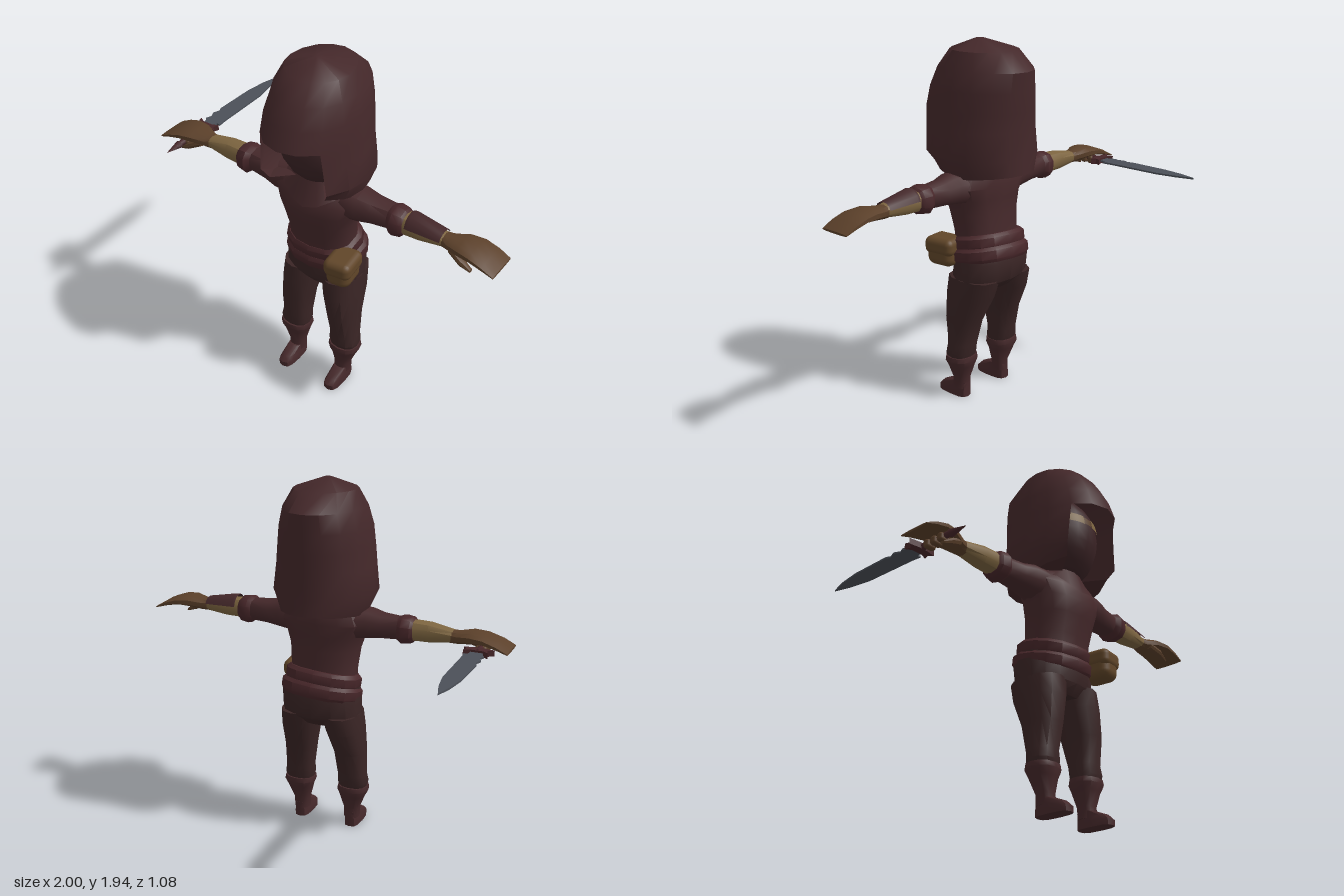
import * as THREE from 'three';
import { toCreasedNormals } from 'three/addons/utils/BufferGeometryUtils.js';
import { RoundedBoxGeometry } from 'three/addons/geometries/RoundedBoxGeometry.js';

const mat = (name, color, side = THREE.FrontSide) =>
  Object.assign(new THREE.MeshStandardMaterial({ color, side }), { name });

// Skin a list of rings; side -1 mirrors in x, skip(i, j) leaves out faces
function loft(rings, { side = 1, closed = true, caps = true, crease = 0.7, skip = () => false } = {}) {
  const n = rings[0].length, last = rings.length - 1, pos = [], idx = [];
  const tri = (a, b, c) => (side > 0 ? idx.push(a, b, c) : idx.push(a, c, b));
  rings.flat().forEach(([x, y, z]) => pos.push(x * side, y, z));
  const count = closed ? n : n - 1;
  for (let i = 0; i < last; i++) {
    for (let j = 0; j < count; j++) {
      if (skip(i, j)) continue;
      const k = (j + 1) % n, a = i * n + j, b = i * n + k;
      tri(a, b, b + n);
      tri(a, b + n, a + n);
    }
  }
  if (caps) {
    for (const i of [0, last]) {
      const c = pos.length / 3;
      const mid = [0, 1, 2].map(d => rings[i].reduce((s, p) => s + p[d], 0) / n);
      pos.push(mid[0] * side, mid[1], mid[2]);
      for (let j = 0; j < n; j++) {
        if (skip(i, j)) continue;
        const a = i * n + j, b = i * n + (j + 1) % n;
        i ? tri(c, a, b) : tri(c, b, a);
      }
    }
  }
  const g = new THREE.BufferGeometry();
  g.setAttribute('position', new THREE.Float32BufferAttribute(pos, 3));
  g.setIndex(idx);
  return toCreasedNormals(g, crease);
}

const around = (n, f) => Array.from({ length: n }, (_, j) => f((j / n) * Math.PI * 2));
const boxy = (v, e) => Math.sign(v) * Math.abs(v) ** e;

// Upright sections [y, centreX, centreZ, radiusX, radiusZ]
const upright = (list, n = 12, e = 0.85) => list.map(([y, cx, cz, rx, rz]) =>
  around(n, a => [cx + rx * boxy(Math.sin(a), e), y, cz + rz * boxy(Math.cos(a), e)]));
// Sideways sections [x, centreY, centreZ, radiusY, radiusZ]
const sideways = (list, n = 10) => list.map(([x, cy, cz, ry, rz]) =>
  around(n, a => [x, cy + ry * boxy(Math.cos(a), 0.85), cz + rz * boxy(Math.sin(a), 0.85)]));

export function createModel() {
  const root = new THREE.Group();
  const cloth = mat('maroon cloth', 0x46292b);
  const hoodCloth = mat('hood cloth', 0x44282a, THREE.DoubleSide);
  const maskCloth = mat('mask cloth', 0x3c2426);
  const trouser = mat('dark trousers', 0x3a2525);
  const sash = mat('sash red', 0x48272a);
  const skin = mat('skin', 0x7d6540);
  const glove = mat('glove leather', 0x5b402a);
  const leather = mat('pouch leather', 0x614629);
  const steel = mat('steel', 0x4c5058);

  const add = (name, geo, material, parent = root) => {
    const m = new THREE.Mesh(geo, material);
    m.name = name;
    parent.add(m);
    return m;
  };

  // Hood: [y, halfWidth, backZ, frontZ], open at the face below the brim
  const hood = [[1.27, 0.23, -0.09, 0.48], [1.36, 0.273, -0.085, 0.52], [1.5, 0.255, -0.08, 0.53],
    [1.6, 0.245, -0.09, 0.54], [1.7, 0.235, -0.095, 0.505], [1.8, 0.21, -0.1, 0.45],
    [1.89, 0.165, 0, 0.37], [1.94, 0.02, 0.2, 0.24]];
  add('hood', loft(hood.map(([y, w, zb, zf], i) => around(16, a => {
    const c = Math.cos(a), zc = i > 6 ? 0.22 : 0.2;
    let h = y;
    if (i === 0) h = 1.25 + 0.08 * Math.max(0, c) + 0.03 * Math.max(0, -c);
    if (i === 3 && c > 0) h = 1.57 + 0.03 * c;
    return [w * Math.sin(a), h, zc + (c > 0 ? zf - zc : zc - zb) * c];
  })), { skip: (i, j) => i < 3 && (j < 2 || j > 13) }), hoodCloth);

  // Masked head with the eye opening
  const head = new THREE.Group();
  head.name = 'head';
  head.position.set(0, 1.52, 0.18);
  root.add(head);
  const headPart = (name, material, grow, ...range) => {
    const g = new THREE.SphereGeometry(1, 20, 14, ...range);
    g.scale(0.215 + grow, 0.26, 0.23 + grow);
    add(name, g, material, head);
  };
  headPart('mask', maskCloth, 0);
  for (const s of [-1, 1]) {
    const start = s > 0 ? Math.PI / 2 + 0.14 : Math.PI / 2 - 1.08;
    headPart('eyeOpening', skin, 0.006, start, 0.94, 1.256, 0.2);
  }
  headPart('noseBridge', glove, 0.005, Math.PI / 2 - 0.14, 0.28, 1.28, 0.16);

  // Torso and collar
  add('torso', loft(upright([[0.84, 0, 0.18, 0.18, 0.13], [0.95, 0, 0.19, 0.183, 0.128],
    [1.05, 0, 0.205, 0.192, 0.142], [1.13, 0, 0.212, 0.218, 0.146], [1.2, 0, 0.2, 0.25, 0.145],
    [1.265, 0, 0.19, 0.22, 0.12], [1.33, 0, 0.17, 0.1, 0.09]], 14)), cloth);
  add('collar', loft([
    around(16, a => [0.2 * Math.sin(a), 1.255 - 0.08 * Math.max(0, Math.cos(a)) ** 4, 0.19 + 0.172 * Math.cos(a)]),
    around(16, a => [0.12 * Math.sin(a), 1.32, 0.18 + 0.13 * Math.cos(a)]),
  ], { caps: false }), hoodCloth);

  // Hips and tilted sash
  add('hips', loft(upright([[0.635, 0, 0.175, 0.17, 0.1], [0.69, 0, 0.165, 0.218, 0.15],
    [0.8, 0, 0.155, 0.218, 0.155], [0.9, 0, 0.17, 0.19, 0.13]], 14)), trouser);
  const belt = new THREE.Group();
  belt.name = 'sash';
  belt.position.set(0, 0.85, 0.165);
  belt.rotation.set(0.2, 0, 0.07);
  root.add(belt);
  for (const [y, grow] of [[-0.03, 0.006], [0.035, -0.008]]) {
    add('sashWrap', loft(upright([[y - 0.04, 0, 0, 0.2 + grow, 0.15 + grow], [y - 0.022, 0, 0, 0.215 + grow, 0.163 + grow],
      [y + 0.022, 0, 0, 0.215 + grow, 0.163 + grow], [y + 0.04, 0, 0, 0.195 + grow, 0.148 + grow]], 14)), sash, belt);
  }

  // Belt pouch with flap
  const pouch = new THREE.Group();
  pouch.name = 'pouch';
  pouch.position.set(0.197, 0.84, 0.3);
  pouch.rotation.y = 0.12;
  root.add(pouch);
  add('pouchBody', new RoundedBoxGeometry(0.135, 0.155, 0.165, 3, 0.045), leather, pouch);
  add('pouchFlap', new RoundedBoxGeometry(0.15, 0.095, 0.178, 3, 0.035), leather, pouch).position.y = 0.032;

  // Limbs, mirrored
  for (const side of [1, -1]) {
    const limb = (name, rings, material) => add(name, loft(rings, { side }), material);
    limb('trouserLeg', upright([[0.235, 0.158, 0.228, 0.075, 0.062], [0.27, 0.16, 0.228, 0.084, 0.074],
      [0.32, 0.156, 0.222, 0.078, 0.074], [0.46, 0.147, 0.215, 0.083, 0.104],
      [0.6, 0.13, 0.183, 0.096, 0.14], [0.7, 0.118, 0.165, 0.1, 0.15]]), trouser);
    limb('boot', upright([[0.05, 0.152, 0.238, 0.042, 0.048], [0.11, 0.152, 0.235, 0.045, 0.045],
      [0.19, 0.158, 0.228, 0.072, 0.066], [0.225, 0.16, 0.228, 0.088, 0.08],
      [0.25, 0.16, 0.228, 0.084, 0.076]]), cloth);
    limb('foot', upright([[0, 0.153, 0.288, 0.043, 0.1], [0.03, 0.153, 0.288, 0.044, 0.1],
      [0.055, 0.153, 0.275, 0.038, 0.086], [0.085, 0.152, 0.24, 0.038, 0.05]], 12, 0.65), cloth);

    limb('sleeve', sideways([[0.14, 1.2, 0.2, 0.09, 0.1], [0.25, 1.203, 0.205, 0.08, 0.09],
      [0.32, 1.2, 0.2, 0.066, 0.075], [0.43, 1.2, 0.195, 0.06, 0.062]]), cloth);
    limb('sleeveCuff', sideways([[0.41, 1.2, 0.197, 0.06, 0.06], [0.44, 1.195, 0.2, 0.077, 0.08],
      [0.485, 1.195, 0.2, 0.07, 0.072], [0.5, 1.195, 0.2, 0.055, 0.058]]), sash);
    limb('forearm', sideways([[0.46, 1.198, 0.2, 0.056, 0.058], [0.58, 1.198, 0.198, 0.053, 0.055],
      [0.73, 1.193, 0.195, 0.028, 0.04]]), skin);
    limb('gloveHand', sideways([[0.69, 1.193, 0.195, 0.034, 0.04], [0.73, 1.193, 0.195, 0.032, 0.05],
      [0.8, 1.205, 0.195, 0.032, 0.078], [0.87, 1.204, 0.195, 0.025, 0.09],
      [0.94, 1.185, 0.195, 0.018, 0.092], [1, 1.16, 0.195, 0.006, 0.09]]), glove);
    limb('thumb', sideways([[0.75, 1.185, 0.23, 0.02, 0.022], [0.82, 1.153, 0.25, 0.02, 0.022],
      [0.875, 1.125, 0.252, 0.008, 0.012]], 8), glove);
  }

  // Plate on top of the left forearm
  add('bracer', loft([[0.515, 0.073, 0.066], [0.53, 0.076, 0.068], [0.7, 0.043, 0.054]].map(([x, ry, rz]) =>
    Array.from({ length: 7 }, (_, j) => {
      const a = (j / 3 - 1) * 1.35;
      return [x, 1.195 + ry * Math.cos(a), 0.197 + rz * Math.sin(a)];
    })), { closed: false, caps: false }), hoodCloth);

  // Dagger lying along z under the right hand
  const dagger = new THREE.Group();
  dagger.name = 'dagger';
  dagger.position.set(-0.86, 1.165, 0);
  root.add(dagger);
  const plate = (points, depth) => {
    const shape = new THREE.Shape(points.map(p => new THREE.Vector2(...p)));
    return new THREE.ExtrudeGeometry(shape, { depth, bevelEnabled: false })
      .translate(0, 0, -depth / 2).rotateX(-Math.PI / 2);
  };
  add('blade', plate([[-0.03, -0.08], [0.03, -0.08], [0.035, -0.03], [0.055, -0.03], [0.05, 0.02], [0.046, 0.33],
    [0.026, 0.45], [0, 0.54], [-0.026, 0.45], [-0.043, 0.33], [-0.048, 0.1], [-0.038, 0.08], [-0.052, 0.04],
    [-0.038, 0.01], [-0.05, -0.02], [-0.035, -0.04]], 0.009), steel, dagger);
  add('guard', plate([[-0.02, -0.11], [0.02, -0.11], [0.075, -0.1], [0.055, -0.08], [0.065, -0.05], [0.03, -0.065],
    [-0.03, -0.065], [-0.06, -0.045], [-0.05, -0.08], [-0.08, -0.1]], 0.03), sash, dagger);
  add('handle', new THREE.CylinderGeometry(0.015, 0.018, 0.24, 8).rotateX(Math.PI / 2), sash, dagger).position.z = 0.2;
  add('pommel', new THREE.ConeGeometry(0.022, 0.1, 6).rotateX(Math.PI / 2), sash, dagger).position.z = 0.34;
  // Fingers curled round the handle
  for (let i = 0; i < 3; i++) {
    add('finger', new RoundedBoxGeometry(0.06, 0.045, 0.036, 2, 0.014), glove, dagger)
      .position.set(0, -0.008, 0.15 + i * 0.045);
  }
  return root;
}
